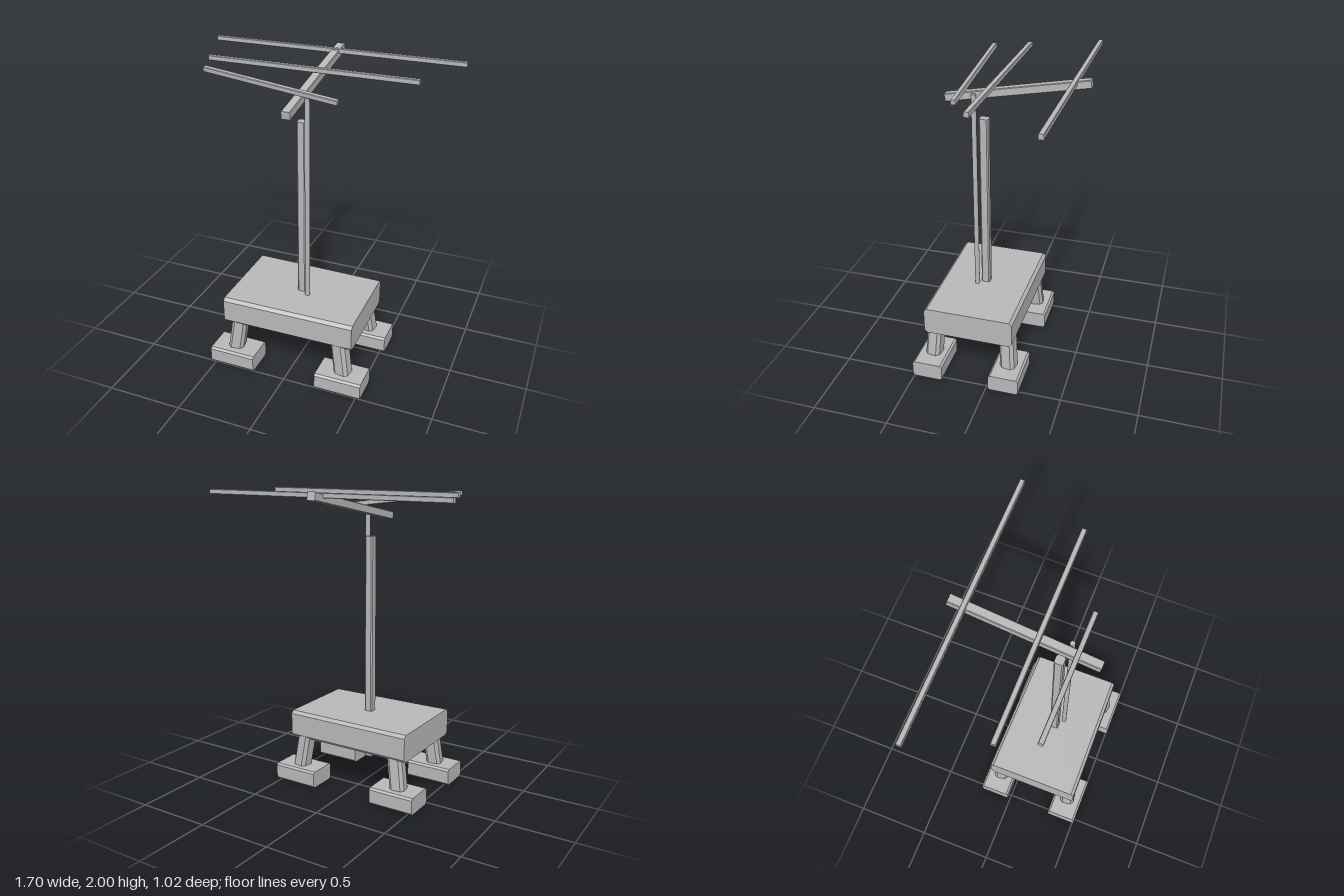
import * as THREE from 'three';

const grey = new THREE.MeshStandardMaterial({ color: 0xb8b8b8 });
grey.name = 'plain grey';

// Bar of chamfered rectangular section between two points.
function bar(name, from, to, width, height, chamfer) {
  const a = new THREE.Vector3(...from), b = new THREE.Vector3(...to);
  const w = width / 2, h = height / 2, c = chamfer;
  const section = new THREE.Shape([
    [w - c, -h], [w, -h + c], [w, h - c], [w - c, h],
    [-w + c, h], [-w, h - c], [-w, -h + c], [-w + c, -h],
  ].map(([x, y]) => new THREE.Vector2(x, y)));
  const dir = b.clone().sub(a);
  const geometry = new THREE.ExtrudeGeometry(section, { depth: dir.length(), bevelEnabled: false });
  const mesh = new THREE.Mesh(geometry, grey);
  mesh.name = name;
  mesh.position.copy(a);
  mesh.quaternion.setFromUnitVectors(new THREE.Vector3(0, 0, 1), dir.normalize());
  return mesh;
}

export function createModel() {
  const model = new THREE.Group();
  model.name = 'antennaOnStand';

  // Base block, slightly shallower towards its left end
  const base = bar('base', [-0.443, 0.408, 0.145], [0.443, 0.408, 0.145], 0.62, 0.185, 0.02);
  const p = base.geometry.attributes.position;
  for (let i = 0; i < p.count; i++) p.setX(i, p.getX(i) * (1 - 0.035 * p.getZ(i) / 0.886));
  base.geometry.computeVertexNormals();
  model.add(base);

  // Four splayed legs on block feet
  for (const side of [-1, 1]) {
    for (const [label, footZ, ankleZ, hipZ] of [['front', 0.407, 0.405, 0.39], ['back', -0.118, -0.12, -0.1]]) {
      const name = label + (side > 0 ? 'Left' : 'Right');
      model.add(bar(name + 'Leg', [side * 0.383, 0.1, ankleZ], [side * 0.345, 0.36, hipZ], 0.1, 0.1, 0.02));
      model.add(bar(name + 'Foot', [side * 0.375 - 0.156, 0.061, footZ], [side * 0.375 + 0.156, 0.061, footZ], 0.204, 0.114, 0.013));
    }
  }

  // Square mast through the base, with a thin round pole in front
  model.add(bar('mast', [-0.002, 0.17, 0.149], [-0.002, 1.69, 0.149], 0.056, 0.058, 0.008));
  const pole = new THREE.Mesh(new THREE.CylinderGeometry(0.016, 0.016, 1.375, 12), grey);
  pole.name = 'pole';
  pole.position.set(0.05, 1.168, 0.199);
  model.add(pole);

  // Sloping boom and three cross rods
  model.add(bar('boom', [-0.002, 1.975, -0.507], [-0.002, 1.805, 0.392], 0.056, 0.051, 0.004));
  model.add(bar('backRod', [-0.85, 1.975, -0.411], [0.847, 1.975, -0.411], 0.031, 0.031, 0.003));
  model.add(bar('middleRod', [-0.673, 1.975, 0.032], [0.67, 1.975, 0.032], 0.031, 0.031, 0.003));
  model.add(bar('frontRod', [-0.584, 1.975, 0.254], [0.26, 1.872, 0.254], 0.031, 0.031, 0.003));

  return model;
}
